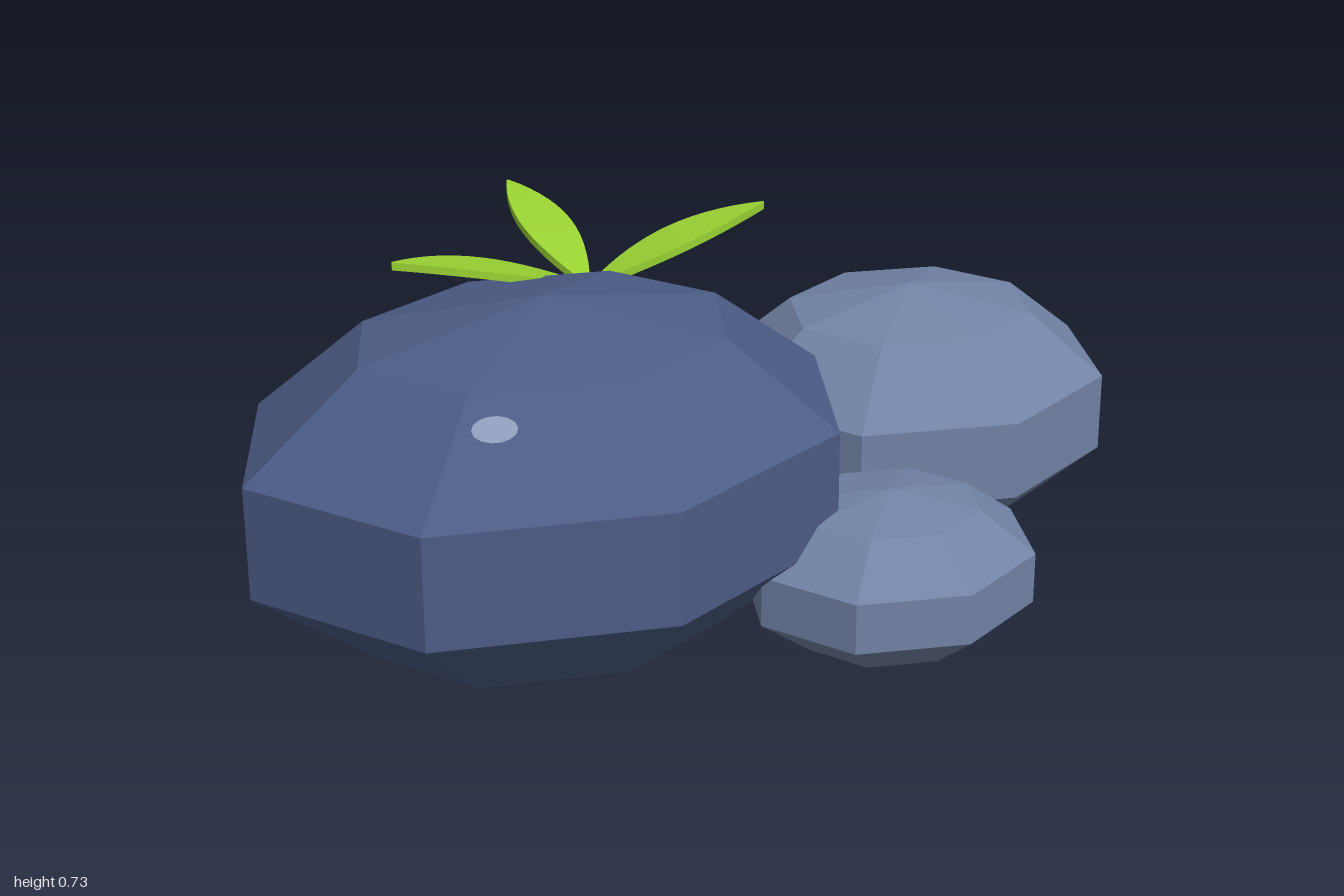
import * as THREE from 'three';

const mat = (name, color, flatShading = true) => {
  const m = new THREE.MeshStandardMaterial({ color, flatShading });
  m.name = name;
  return m;
};

export function createModel() {
  const darkStone = mat('dark slate stone', 0x4c5c86);
  const paleStone = mat('pale slate stone', 0x7283a6);
  const shine = mat('stone highlight', 0x8c9bb8);
  const green = mat('leaf green', 0x98d032);

  const model = new THREE.Group();
  model.name = 'stonesWithSprout';
  const add = (name, geometry, material) => {
    const mesh = new THREE.Mesh(geometry, material);
    mesh.name = name;
    model.add(mesh);
    return mesh;
  };

  // Faceted stones: squashed eight-sided spheres resting on the ground
  const stone = (name, material, x, y, z, rx, ry, rz) => {
    const mesh = add(name, new THREE.SphereGeometry(1, 8, 5), material);
    mesh.position.set(x, y, z);
    mesh.scale.set(rx, ry, rz);
  };
  stone('largeStone', darkStone, -0.38, 0.363, 0.005, 0.652, 0.363, 0.531);
  stone('mediumStone', paleStone, 0.562, 0.268, -0.117, 0.459, 0.266, 0.41);
  stone('smallStone', paleStone, 0.175, 0.17, 0.37, 0.311, 0.166, 0.284);

  // Small oval highlights lying on two mirrored facets of the large stone
  for (const side of [1, -1]) {
    const patch = add(side > 0 ? 'frontHighlight' : 'backHighlight', new THREE.CircleGeometry(1, 14), shine);
    const normal = new THREE.Vector3(-0.293, 0.927, 0.87 * side).normalize();
    patch.position.set(-0.63, 0.607, 0.005 + 0.28 * side).addScaledVector(normal, 0.005);
    patch.lookAt(patch.position.clone().add(normal));
    patch.scale.set(0.042, 0.026, 1);
  }

  // Leaves: thin slabs tapered to a point and arched upward, sharing one root
  const leafGeometry = (length) => {
    const g = new THREE.BoxGeometry(1, 0.016, 1, 14, 1, 2);
    const p = g.attributes.position;
    for (let i = 0; i < p.count; i++) {
      const s = p.getX(i) + 0.5;
      const halfWidth = 0.052 * Math.pow(Math.sin(Math.PI * s), 0.9) + 0.002;
      const rise = 0.115 * (1.6 * s - 0.6 * s * s);
      p.setXYZ(i, s * length, p.getY(i) + rise, p.getZ(i) * 2 * halfWidth);
    }
    g.computeVertexNormals();
    return g;
  };
  const root = [-0.13, 0.608, -0.265];
  const tips = { backLeaf: [-0.112, -0.645], leftLeaf: [0.27, -0.237], rightLeaf: [-0.547, -0.298] };
  for (const [name, [x, z]] of Object.entries(tips)) {
    const dx = x - root[0], dz = z - root[2];
    const leaf = add(name, leafGeometry(Math.hypot(dx, dz)), green);
    leaf.position.set(...root);
    leaf.rotation.y = Math.atan2(-dz, dx);
  }
  return model;
}
